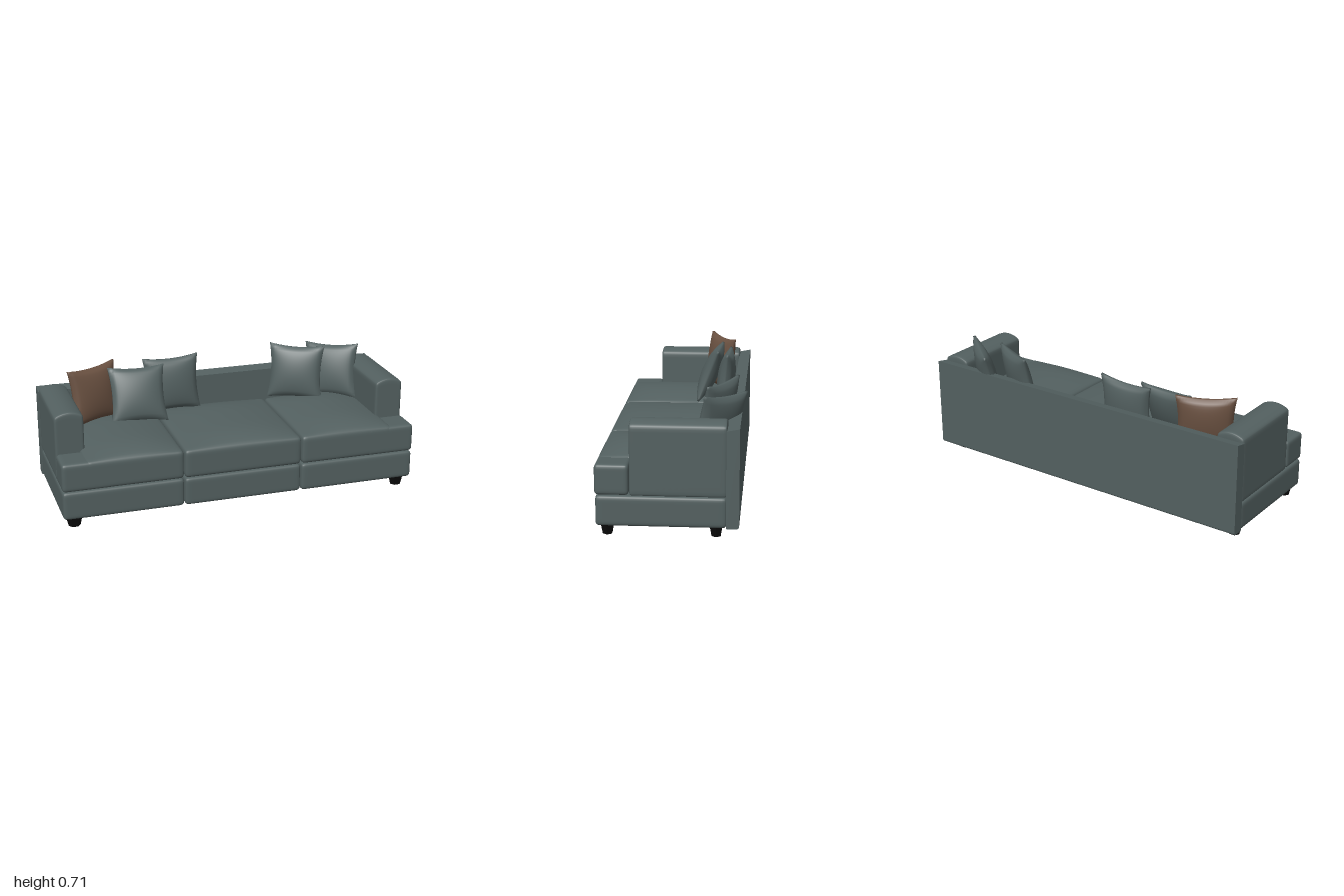
import * as THREE from 'three';
import { mergeVertices } from 'three/addons/utils/BufferGeometryUtils.js';

const fabric = new THREE.MeshStandardMaterial({ color: 0x536060 });
fabric.name = 'greyTealFabric';
const brown = new THREE.MeshStandardMaterial({ color: 0x6a5141 });
brown.name = 'brownFabric';
const black = new THREE.MeshStandardMaterial({ color: 0x0b0b0b });
black.name = 'blackFeet';

function mesh(name, geometry, material, parent) {
  const m = new THREE.Mesh(geometry, material);
  m.name = name;
  parent.add(m);
  return m;
}

// Drops the seams so the normals run smoothly over the whole surface
function smooth(g) {
  g.deleteAttribute('uv');
  g.deleteAttribute('normal');
  const merged = mergeVertices(g, 1e-5);
  merged.computeVertexNormals();
  return merged;
}

// Upholstered block between two corners: rounded edges, top raised by crown(u, v)
function softBox([x0, y0, z0], [x1, y1, z1], r, crown = () => 0) {
  const half = new THREE.Vector3(x1 - x0, y1 - y0, z1 - z0).multiplyScalar(0.5);
  const inner = half.clone().subScalar(r);
  const g = new THREE.BoxGeometry(2, 2, 2, 24, 16, 24);
  const pos = g.attributes.position;
  const p = new THREE.Vector3(), core = new THREE.Vector3();
  const ease = t => Math.sin(t * Math.PI / 2); // packs the grid near the edges
  for (let i = 0; i < pos.count; i++) {
    p.fromBufferAttribute(pos, i);
    p.set(ease(p.x), ease(p.y), ease(p.z)).multiply(half);
    core.copy(p).clamp(inner.clone().negate(), inner);
    p.sub(core).setLength(r).add(core);
    const lift = Math.max(0, p.y / half.y);
    p.y += crown(p.x / half.x, p.z / half.z) * lift;
    pos.setXYZ(i, p.x + (x0 + x1) / 2, p.y + (y0 + y1) / 2, p.z + (z0 + z1) / 2);
  }
  return smooth(g);
}

// Square pillow: sides curve inward, corners stay pointed, belly is full
function pillowGeometry(size, belly) {
  const g = new THREE.BoxGeometry(2, 2, 2, 20, 20, 2);
  const pos = g.attributes.position;
  for (let i = 0; i < pos.count; i++) {
    const u = pos.getX(i), v = pos.getY(i), s = pos.getZ(i);
    const fill = Math.sqrt(Math.max(0, (1 - u * u) * (1 - v * v)));
    pos.setXYZ(i,
      u * size * (1 - 0.1 * (1 - v * v)),
      v * size * (1 - 0.1 * (1 - u * u)),
      s * (0.007 + belly * fill));
  }
  return smooth(g);
}

export function createModel() {
  const sofa = new THREE.Group();
  sofa.name = 'sofa';

  // Three base blocks and three crowned seat cushions
  const puff = (u, v) => 0.042 * (1 - u * u) * (1 - v ** 4);
  [-1, 0, 1].forEach(k => {
    const a = k * 0.6667 - 0.331, b = k * 0.6667 + 0.331;
    mesh('baseBlock', softBox([a, 0.055, -0.288], [b, 0.213, 0.369], 0.02), fabric, sofa);
    const c = k < 0 ? -0.87 : a, d = k > 0 ? 0.87 : b;
    mesh('seatCushion', softBox([c, 0.216, -0.288], [d, 0.376, 0.373], 0.022, puff), fabric, sofa);
  });

  for (const side of [-1, 1]) {
    const span = (a, b) => side > 0 ? [a, b] : [-b, -a];

    // Cushion end that wraps in front of the arm
    const [t0, t1] = span(0.72, 0.998);
    mesh('seatCushionEnd', softBox([t0, 0.216, 0.2], [t1, 0.374, 0.373], 0.02), fabric, sofa);

    // Arm with a gently arched top
    const [a0, a1] = span(0.838, 0.997);
    const arch = u => 0.024 * (1 - u * u);
    mesh('arm', softBox([a0, 0.215, -0.288], [a1, 0.572, 0.197], 0.014, arch), fabric, sofa);

    // Tapered six-sided feet
    for (const z of [0.314, -0.234]) {
      const g = new THREE.CylinderGeometry(0.046, 0.032, 0.058, 6).toNonIndexed();
      g.rotateY(Math.PI / 6);
      g.scale(1, 1, 0.82);
      g.computeVertexNormals();
      mesh('foot', g, black, sofa).position.set(side * 0.932, 0.029, z);
    }
  }

  // Back panel with a sloping top edge
  const profile = new THREE.Shape();
  profile.moveTo(-0.284, 0.056);
  profile.lineTo(-0.284, 0.555);
  profile.lineTo(-0.35, 0.568);
  profile.lineTo(-0.35, 0.071);
  profile.quadraticCurveTo(-0.35, 0.056, -0.335, 0.056);
  const back = new THREE.ExtrudeGeometry(profile, { depth: 2, bevelEnabled: false, curveSegments: 5 });
  back.rotateY(-Math.PI / 2);
  back.translate(1, 0, 0);
  mesh('backPanel', back, fabric, sofa);

  // Loose pillows: position, then yaw, lean and roll in degrees
  const pillows = [
    [[-0.705, 0.553, -0.175], [27, -8, 0], brown],
    [[-0.465, 0.54, -0.128], [-3, -22, 0], fabric],
    [[-0.242, 0.547, -0.23], [-2, -6, 2], fabric],
    [[0.508, 0.545, -0.22], [-27, -12, -1], fabric],
    [[0.735, 0.53, -0.235], [-40, -14, 4], fabric],
  ];
  const shape = pillowGeometry(0.16, 0.044);
  for (const [at, turn, material] of pillows) {
    const m = mesh('pillow', shape, material, sofa);
    m.position.set(...at);
    const [yaw, lean, roll] = turn.map(THREE.MathUtils.degToRad);
    m.rotation.set(lean, yaw, roll, 'YXZ');
  }
  return sofa;
}
